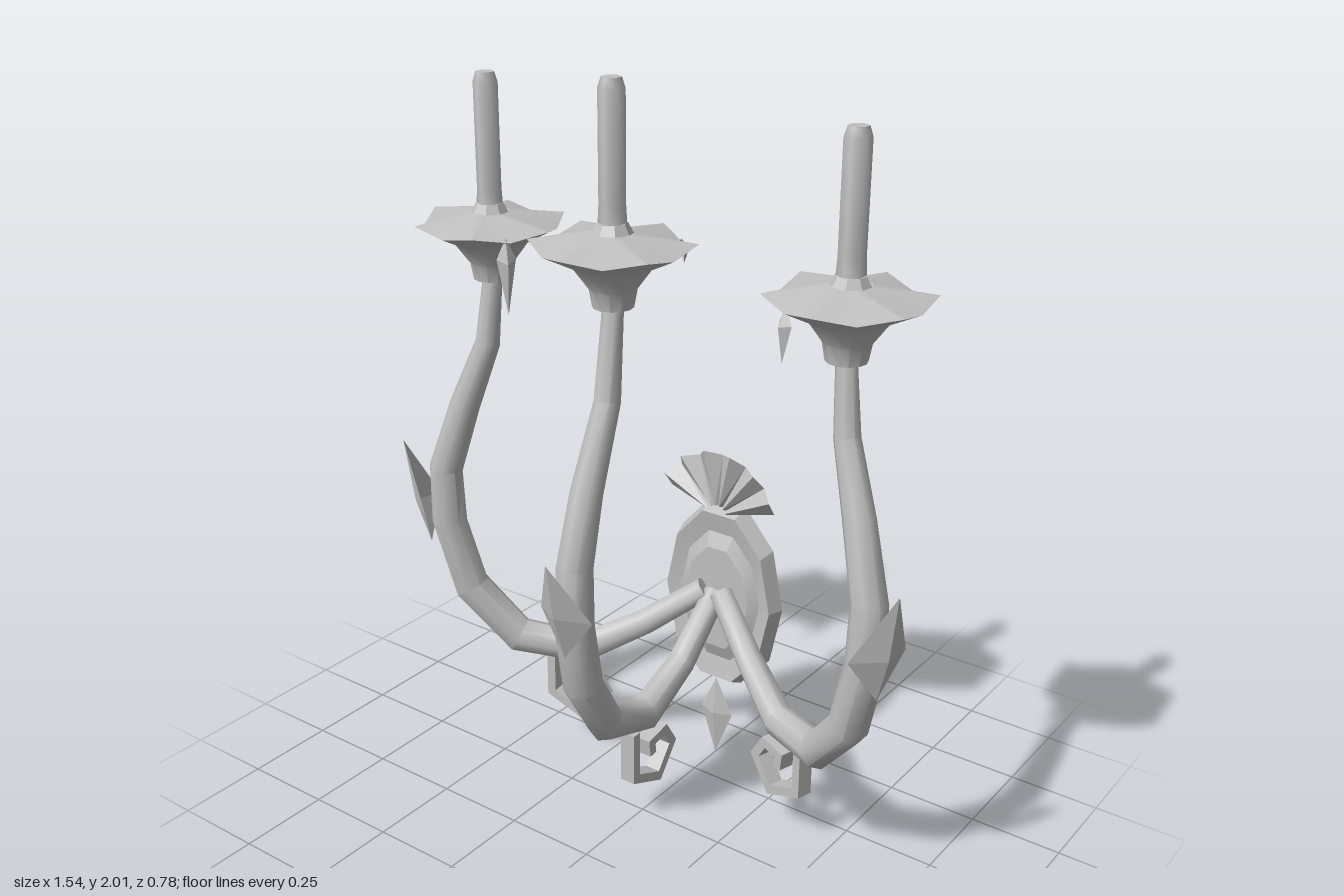
import * as THREE from 'three';
import { toCreasedNormals } from 'three/addons/utils/BufferGeometryUtils.js';

const metal = new THREE.MeshStandardMaterial({ color: 0xc0c0c0, side: THREE.DoubleSide });
metal.name = 'silver grey';

const WALL_Z = -0.34;

function part(name, geometry, crease = 0.7) {
  const mesh = new THREE.Mesh(toCreasedNormals(geometry, crease), metal);
  mesh.name = name;
  return mesh;
}

function fromArrays(positions, index) {
  const geo = new THREE.BufferGeometry();
  geo.setAttribute('position', new THREE.Float32BufferAttribute(positions, 3));
  geo.setIndex(index);
  return geo;
}

// Sweeps an elliptical ring along a path in the local z-y plane.
// Each path point is [z, y, half thickness, half width].
function sweep(path, sides, turn = 0) {
  const pos = [], idx = [];
  const dir = (a, b) => new THREE.Vector2(b[0] - a[0], b[1] - a[1]).normalize();
  const last = path.length - 1;
  path.forEach((p, i) => {
    const before = dir(path[Math.max(i - 1, 0)], path[Math.max(i, 1)]);
    const after = dir(path[Math.min(i, last - 1)], path[Math.min(i + 1, last)]);
    const t = before.clone().add(after).normalize();
    const miter = 1 / Math.max(t.dot(before), 0.6);
    for (let j = 0; j < sides; j++) {
      const a = turn + (j / sides) * Math.PI * 2;
      const n = Math.cos(a) * p[2] * miter;
      pos.push(Math.sin(a) * p[3], p[1] + t.x * n, p[0] - t.y * n);
    }
    if (i === last) return;
    for (let j = 0; j < sides; j++) {
      const a = i * sides + j, b = i * sides + (j + 1) % sides;
      idx.push(a, a + sides, b, b, a + sides, b + sides);
    }
  });
  for (let j = 1; j < sides - 1; j++) {
    const e = last * sides;
    idx.push(0, j, j + 1, e, e + j + 1, e + j);
  }
  return fromArrays(pos, idx);
}

// Folded diamond leaf: foot, two side corners, ridge and tip, each [y, z].
function leaf(name, foot, side, ridge, tip, halfWidth) {
  const pos = [
    0, ...foot, -halfWidth, ...side, halfWidth, ...side, 0, ...ridge, 0, ...tip,
  ];
  return part(name, fromArrays(pos, [0, 3, 1, 0, 2, 3, 1, 3, 4, 3, 2, 4]), 0.1);
}

// Six-pointed drip pan
function panGeometry() {
  const profile = [[0, 0], [0.05, 0], [0.058, 0.045], [0.098, 0.1], [0.2, 0.155], [0.05, 0.178]];
  const geo = new THREE.LatheGeometry(profile.map(p => new THREE.Vector2(...p)), 12);
  const pos = geo.attributes.position;
  for (let i = 0; i < pos.count; i++) {
    const column = Math.floor(i / profile.length), row = i % profile.length;
    if (row === 4 && column % 2) {
      pos.setXYZ(i, pos.getX(i) * 0.87, pos.getY(i) - 0.018, pos.getZ(i) * 0.87);
    }
  }
  return geo;
}

// Candle, collar and pan, with a small leaf hanging at an angle from the rim
function candleHolder(turn, leafAngle, leafLength) {
  const group = new THREE.Group();
  group.name = 'candleHolder';
  const pan = part('dripPan', panGeometry(), 0.5);
  pan.rotation.y = turn;
  const collar = part('collar', new THREE.CylinderGeometry(0.036, 0.052, 0.03, 8));
  collar.position.y = 0.185;
  const candleProfile = [[0.036, 0.17], [0.032, 0.24], [0.032, 0.505], [0.024, 0.53], [0, 0.53]];
  const candle = part('candle', new THREE.LatheGeometry(candleProfile.map(p => new THREE.Vector2(...p)), 6), 1.1);
  const hanging = leaf('hangingLeaf', [0.15, 0.165], [0.145 - leafLength * 0.25, 0.165],
    [0.145 - leafLength * 0.3, 0.185], [0.15 - leafLength, 0.172], 0.025);
  hanging.rotation.y = leafAngle;
  group.add(pan, collar, candle, hanging);
  return group;
}

// One complete arm; it reaches out along local +z
function arm(name, o) {
  const group = new THREE.Group();
  group.name = name;
  group.position.z = WALL_Z;
  group.rotation.y = o.angle;

  const radii = [0.034, 0.038, 0.044, 0.049, 0.051, 0.05, 0.046, 0.041, 0.033, 0.026];
  group.add(part('curvedArm', sweep(o.path.map((p, i) => [...p, radii[i], radii[i]]), 8), 0.8));

  const [topR, topY] = o.path[o.path.length - 1];
  const holder = candleHolder(o.panTurn, o.leafAngle - o.angle, o.leafLength);
  holder.position.set(0, topY, topR);
  group.add(holder);

  const r = o.leafR;
  group.add(leaf('armLeaf', [0.63, r - 0.005], [0.745, r - 0.015], [0.755, r + 0.035], [o.leafTop, r + 0.06], 0.08));

  // Square-edged scroll below the arm
  const scroll = [[0.075, 0.29], [0.075, 0.15], [-0.03, 0.105], [-0.09, 0.185], [-0.055, 0.24], [0.005, 0.228], [0, 0.19]];
  const h = 0.013 * Math.SQRT2, w = 0.022 * Math.SQRT2;
  const curl = part('scroll', sweep(scroll.map(p => [...p, h, w]), 4, Math.PI / 4), 0.3);
  curl.position.set(0, o.scrollY, o.scrollR);
  curl.rotation.y = o.scrollTurn;
  group.add(curl);
  return group;
}

// Pleated fan crest above the plate
function crest() {
  const pos = [], idx = [], count = 13;
  for (let i = 0; i < count; i++) {
    const a = THREE.MathUtils.degToRad(14 + (152 * i) / (count - 1));
    const ridge = i % 2;
    const r = ridge ? 0.19 : 0.172;
    pos.push(Math.cos(a) * 0.03, 0.765 + Math.sin(a) * 0.03, ridge ? -0.337 : -0.347);
    pos.push(Math.cos(a) * r, 0.765 + Math.sin(a) * r, ridge ? -0.33 : -0.362);
    if (i) {
      const k = i * 2;
      idx.push(k - 2, k - 1, k, k, k - 1, k + 1);
    }
  }
  return part('fanCrest', fromArrays(pos, idx), 0.1);
}

export function createModel() {
  const model = new THREE.Group();
  model.name = 'wallSconce';

  // Oval wall plate with a stepped front and a recessed back
  const profile = [[0, -0.368], [0.68, -0.368], [1, -0.393], [0.92, -0.347], [0.7, -0.36], [0.55, -0.343], [0, -0.343]];
  const plateGeo = new THREE.LatheGeometry(profile.map(p => new THREE.Vector2(...p)), 10, Math.PI / 2);
  plateGeo.rotateX(Math.PI / 2).scale(0.185, 0.29, 1);
  const plate = part('wallPlate', plateGeo, 0.3);
  plate.position.y = 0.51;
  model.add(plate, crest());

  // Pendant leaf, front and back
  model.add(leaf('pendantFront', [0.25, -0.352], [0.14, -0.358], [0.14, -0.338], [0, -0.355], 0.052));
  model.add(leaf('pendantBack', [0.25, -0.352], [0.14, -0.358], [0.14, -0.364], [0, -0.355], 0.052));

  model.add(arm('centreArm', {
    angle: 0, panTurn: 0, leafAngle: 2.48, leafLength: 0.06,
    path: [[0, 0.53], [0.16, 0.385], [0.33, 0.305], [0.5, 0.365], [0.59, 0.52],
      [0.62, 0.7], [0.615, 0.86], [0.565, 1.04], [0.48, 1.25], [0.455, 1.48]],
    leafR: 0.665, leafTop: 0.91, scrollR: 0.32, scrollY: -0.012, scrollTurn: 0,
  }));

  const sidePath = [[0.03, 0.54], [0.2, 0.42], [0.37, 0.325], [0.56, 0.35], [0.695, 0.5],
    [0.75, 0.7], [0.752, 0.86], [0.69, 1.05], [0.62, 1.23], [0.6, 1.41]];
  const sideAngle = THREE.MathUtils.degToRad(62);
  for (const s of [1, -1]) {
    model.add(arm(s > 0 ? 'leftArm' : 'rightArm', {
      angle: s * sideAngle, path: sidePath,
      panTurn: s > 0 ? 0.05 : Math.PI / 6,
      leafAngle: s > 0 ? -0.46 : 0.95, leafLength: s > 0 ? 0.13 : 0.2,
      leafR: 0.81, leafTop: 0.935, scrollR: 0.395, scrollY: 0.012,
      scrollTurn: s > 0 ? 0.2 : -0.38,
    }));
  }
  return model;
}
